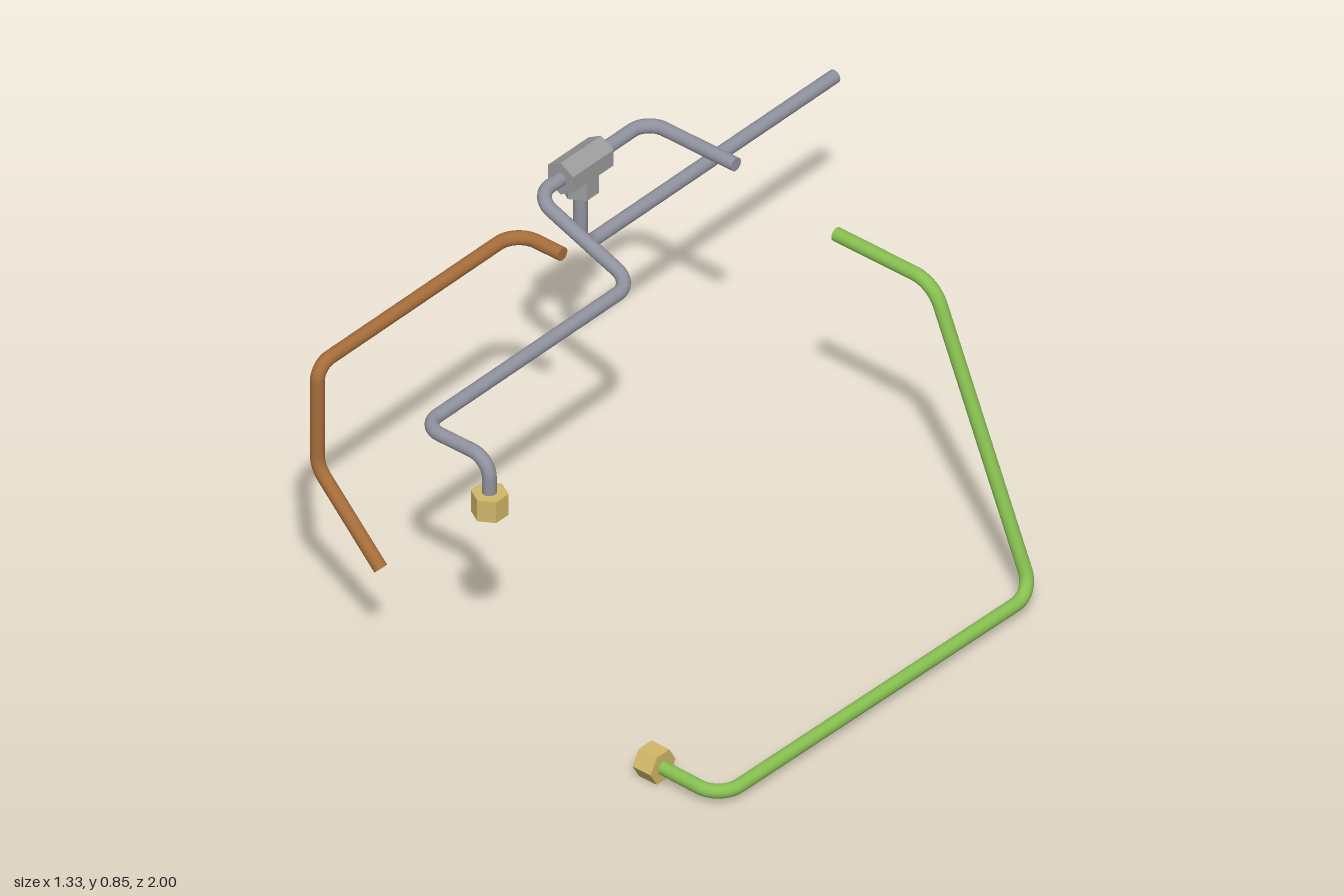
import * as THREE from 'three';

const PIPE_R = 0.018;
const V = (p) => new THREE.Vector3(p[0], p[1], p[2]);

const material = (color, extra = {}) => new THREE.MeshStandardMaterial({ color, ...extra });

// Straight runs joined by circular bends of the given centreline radius
function bentPath(points, defaultRadius) {
  const path = new THREE.CurvePath();
  let from = V(points[0]);
  for (let i = 1; i < points.length - 1; i++) {
    const corner = V(points[i]);
    const dirIn = corner.clone().sub(V(points[i - 1])).normalize();
    const dirOut = V(points[i + 1]).sub(corner).normalize();
    const angle = dirIn.angleTo(dirOut);
    const radius = points[i][3] ?? defaultRadius;
    const trim = radius * Math.tan(angle / 2);
    const handle = (4 / 3) * Math.tan(angle / 4) * radius;
    const a = corner.clone().addScaledVector(dirIn, -trim);
    const b = corner.clone().addScaledVector(dirOut, trim);
    path.add(new THREE.LineCurve3(from, a));
    path.add(new THREE.CubicBezierCurve3(
      a, a.clone().addScaledVector(dirIn, handle),
      b.clone().addScaledVector(dirOut, -handle), b));
    from = b;
  }
  path.add(new THREE.LineCurve3(from, V(points[points.length - 1])));
  return path;
}

// Round pipe with closed ends
function pipe(name, points, mat, radius = 0.055) {
  const group = new THREE.Group();
  group.name = name;
  const path = bentPath(points, radius);
  const tube = new THREE.Mesh(new THREE.TubeGeometry(path, 240, PIPE_R, 20), mat);
  tube.name = name + 'Tube';
  group.add(tube);
  for (const [end, sign] of [[0, -1], [1, 1]]) {
    const cap = new THREE.Mesh(new THREE.CircleGeometry(PIPE_R, 20), mat);
    cap.name = name + 'EndCap';
    cap.position.copy(path.getPointAt(end));
    const outward = path.getTangentAt(end).multiplyScalar(sign);
    cap.quaternion.setFromUnitVectors(new THREE.Vector3(0, 0, 1), outward);
    group.add(cap);
  }
  return group;
}

// Hexagonal prism along the chosen axis
function hex(name, axis, length, position, mat) {
  const geometry = new THREE.CylinderGeometry(0.046, 0.046, length, 6);
  if (axis === 'x') geometry.rotateZ(Math.PI / 2);
  if (axis === 'z') geometry.rotateX(Math.PI / 2);
  const mesh = new THREE.Mesh(geometry, mat);
  mesh.name = name;
  mesh.position.set(...position);
  return mesh;
}

export function createModel() {
  const model = new THREE.Group();
  model.name = 'pipeSet';

  const steel = material(0x8f919e);
  const copper = material(0xa66d3a);
  const green = material(0x86bf50);
  const brass = material(0xd0b668, { flatShading: true });
  const fitting = material(0x9c9c9c, { flatShading: true });

  // Grey pipes that meet at the tee
  model.add(pipe('frontSteelPipe', [
    [-0.622, 0.81, -0.02], [-0.622, 0.81, 0.106], [-0.315, 0.693, 0.106],
    [-0.315, 0.693, 0.882], [-0.104, 0.693, 0.882], [-0.104, 0.56, 0.882]], steel));
  model.add(pipe('backSteelPipe', [
    [-0.622, 0.81, -0.1], [-0.622, 0.81, -0.306], [-0.34, 0.81, -0.306]], steel));
  model.add(pipe('lowerSteelPipe', [
    [-0.622, 0.78, -0.06], [-0.622, 0.566, -0.06], [-0.622, 0.566, -1]], steel));

  // Tee fitting: a long hexagonal body with a short branch below
  const tee = new THREE.Group();
  tee.name = 'teeFitting';
  tee.add(hex('teeBody', 'z', 0.15, [-0.622, 0.81, -0.062], fitting));
  tee.add(hex('teeBranch', 'y', 0.065, [-0.622, 0.768, -0.06], fitting));
  model.add(tee);

  // Copper pipe
  model.add(pipe('copperPipe', [
    [-0.415, 0.81, 0.248], [-0.562, 0.81, 0.248, 0.065], [-0.562, 0.81, 0.982, 0.045],
    [-0.562, 0.515, 0.982, 0.08], [-0.362, 0.305, 0.982]], copper));

  // Green pipe
  model.add(pipe('greenPipe', [
    [0.03, 0.81, -0.243], [0.338, 0.81, -0.241, 0.09], [0.655, 0.043, -0.237, 0.06],
    [0.628, 0.033, 0.885, 0.07], [0.42, 0.04, 0.885]], green));

  // Brass end nuts
  model.add(hex('steelPipeNut', 'y', 0.061, [-0.103, 0.565, 0.882], brass));
  model.add(hex('greenPipeNut', 'x', 0.057, [0.419, 0.041, 0.885], brass));

  return model;
}
